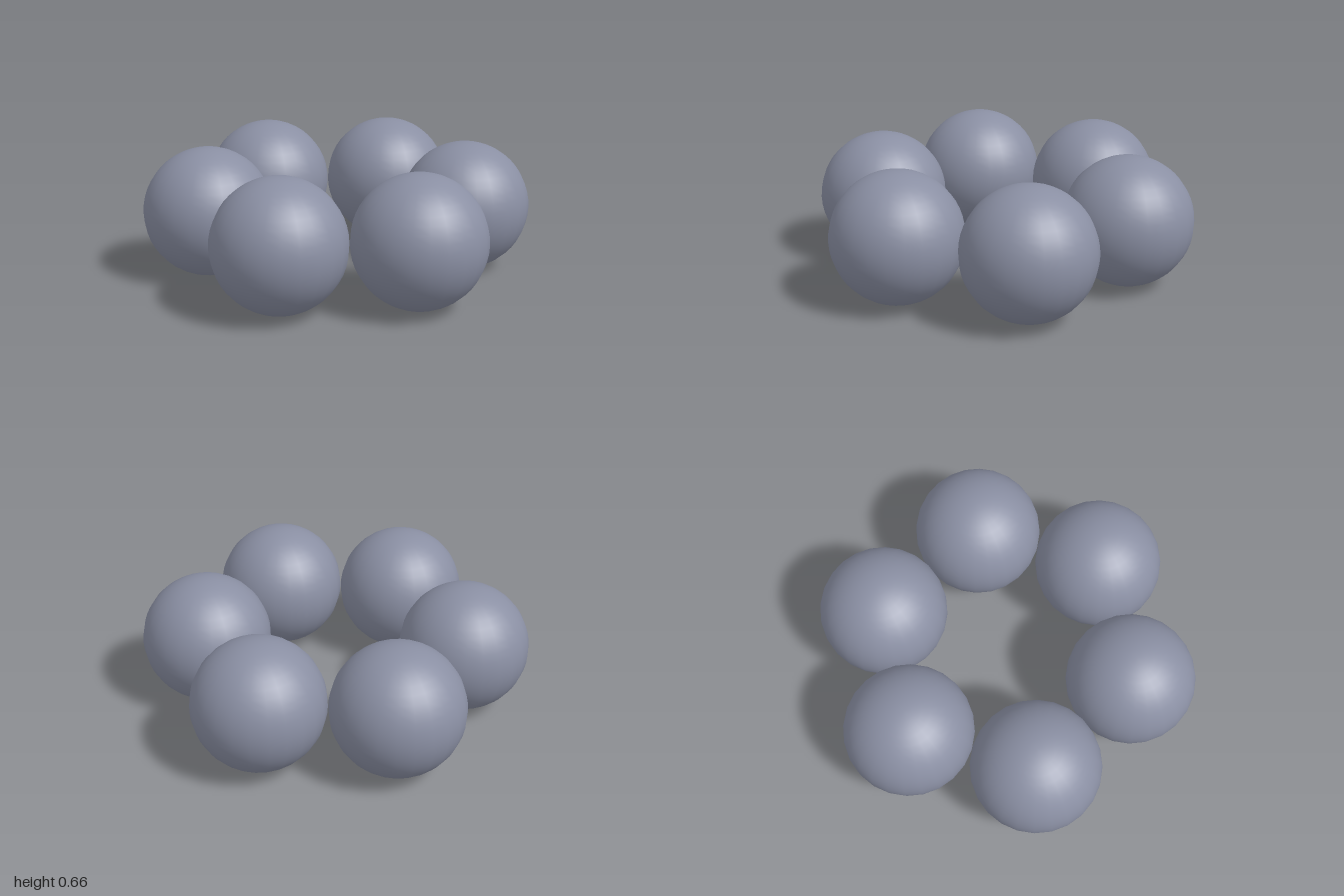
import * as THREE from 'three';

export function createModel() {
  const group = new THREE.Group();
  group.name = 'sphereRing';

  const slate = new THREE.MeshStandardMaterial({ color: 0x8a8fa3 });
  slate.name = 'slateGrey';

  // Six equal balls touching one another in a flat ring
  const radius = 0.33;
  const ringX = 0.66;
  const ringZ = 0.667;
  const ball = new THREE.SphereGeometry(radius, 24, 24);

  for (let i = 0; i < 6; i++) {
    const a = (i / 6) * Math.PI * 2;
    const mesh = new THREE.Mesh(ball, slate);
    mesh.name = `ball${i + 1}`;
    mesh.position.set(Math.sin(a) * ringX, radius, Math.cos(a) * ringZ);
    mesh.rotation.y = a;
    group.add(mesh);
  }
  return group;
}
